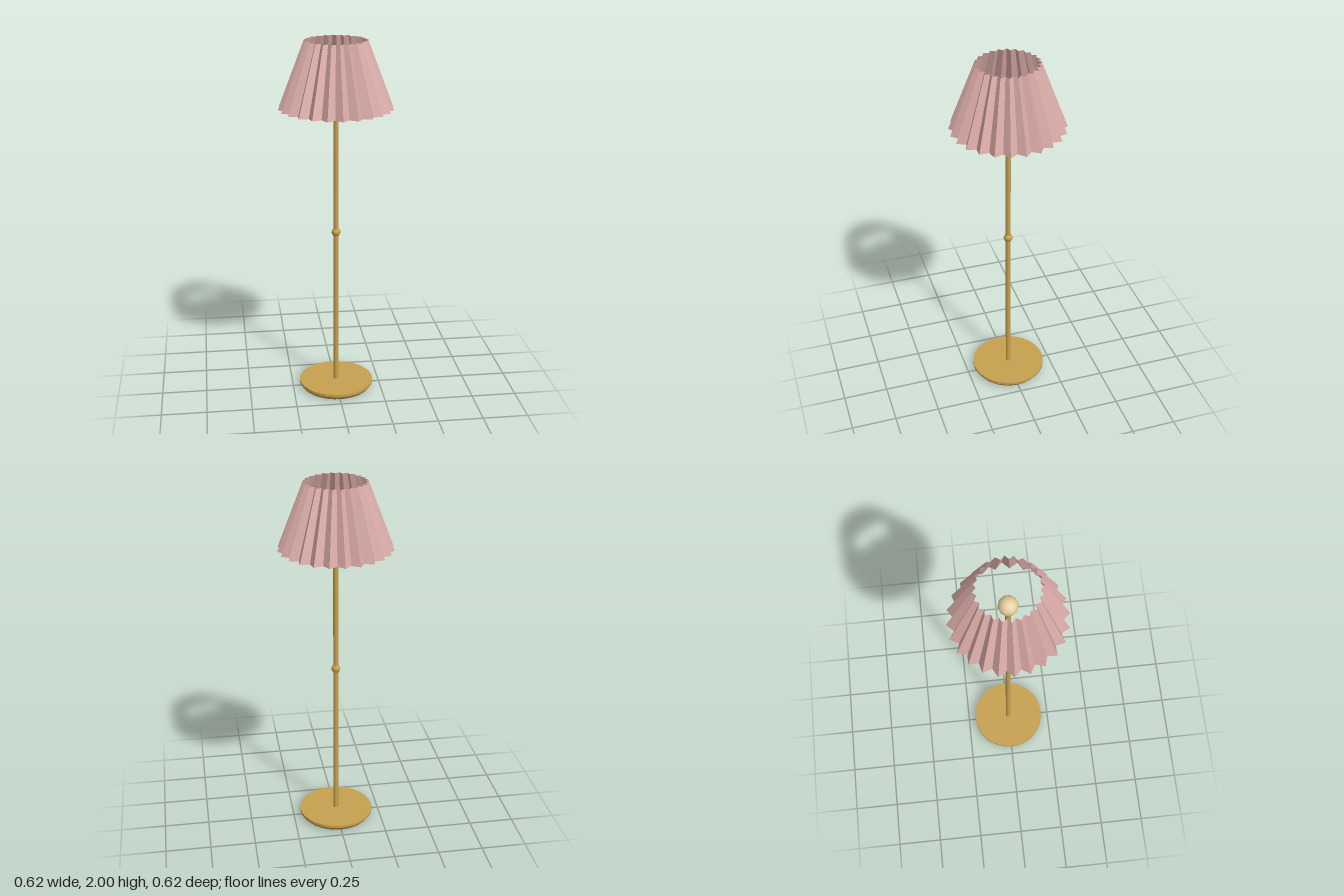
import * as THREE from 'three';

const material = (name, color, extra = {}) => {
  const m = new THREE.MeshStandardMaterial({ color, ...extra });
  m.name = name;
  return m;
};

export function createModel() {
  const brass = material('brass', 0xc6a04f);
  const flatBrass = material('brass', 0xc6a04f, { flatShading: true });
  const pink = material('pink fabric', 0xdbaca8, { flatShading: true, side: THREE.DoubleSide });
  const cream = material('cream glass', 0xe6cf9f);

  const lamp = new THREE.Group();
  lamp.name = 'floorLamp';
  const add = (name, geometry, mat, y) => {
    const mesh = new THREE.Mesh(geometry, mat);
    mesh.name = name;
    mesh.position.y = y;
    lamp.add(mesh);
    return mesh;
  };

  // Round foot with a bevelled underside
  const profile = [[0, 0], [0.195, 0], [0.21, 0.02], [0.21, 0.035], [0, 0.035]];
  add('base', new THREE.LatheGeometry(profile.map(([r, y]) => new THREE.Vector2(r, y)), 32), flatBrass, 0);

  // Slim pole with a small knob halfway up
  add('pole', new THREE.CylinderGeometry(0.0145, 0.0145, 1.74, 12), brass, 0.9);
  add('knob', new THREE.SphereGeometry(0.025, 10, 8), brass, 0.937);

  // Bulb
  add('bulb', new THREE.SphereGeometry(0.052, 10, 8), cream, 1.8).rotation.y = Math.PI / 2;

  // Pleated open shade: every other column of a cone is pulled inwards
  const pleats = 24, columns = pleats * 2;
  const shade = new THREE.CylinderGeometry(0.17, 0.31, 0.365, columns, 1, true);
  const p = shade.attributes.position;
  for (let i = 0; i < p.count; i++) {
    if ((i % (columns + 1)) % 2 === 1) p.setXYZ(i, p.getX(i) * 0.885, p.getY(i), p.getZ(i) * 0.885);
  }
  shade.computeVertexNormals();
  add('shade', shade, pink, 1.8175);

  return lamp;
}
